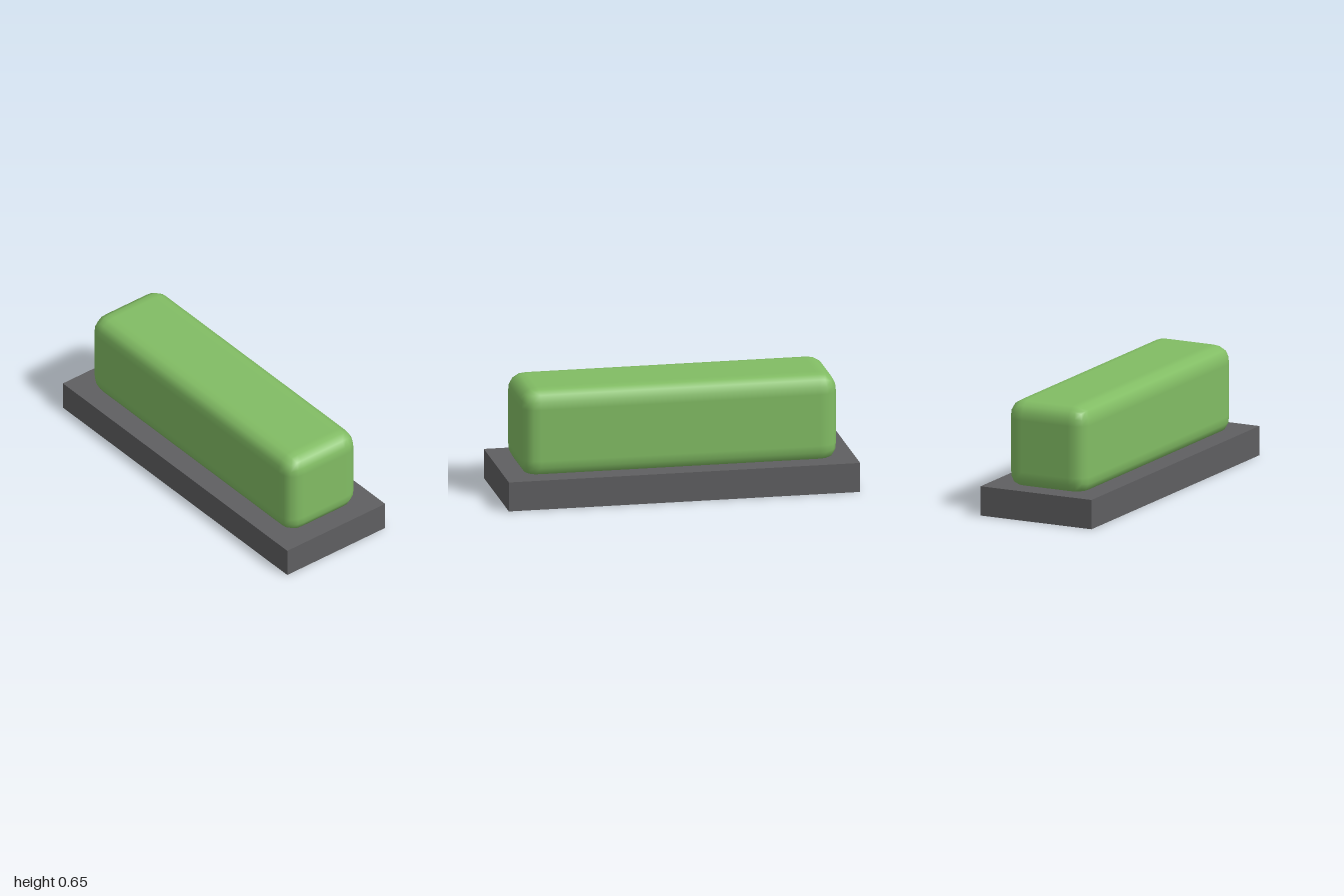
import * as THREE from 'three';

// Box with softly rounded edges: a 5x5x5 grid whose outer two rings wrap each corner.
function softBox(width, height, depth, radius, power) {
  const geometry = new THREE.BoxGeometry(2, 2, 2, 5, 5, 5);
  const position = geometry.attributes.position;
  const normal = geometry.attributes.normal;
  const half = [width / 2, height / 2, depth / 2];
  const n = new THREE.Vector3();
  for (let i = 0; i < position.count; i++) {
    const p = [position.getX(i), position.getY(i), position.getZ(i)];
    // the two middle grid lines bound the flat faces, so they get no corner offset
    const dir = p.map((v) => Math.tan(Math.max(0, (Math.abs(v) - 0.2) / 0.8) * Math.PI / 4));
    const length = dir.reduce((sum, v) => sum + v ** power, 0) ** (1 / power);
    const unit = dir.map((v) => v / length);
    position.setXYZ(i, ...p.map((v, k) => Math.sign(v) * (half[k] - radius + radius * unit[k])));
    n.set(...p.map((v, k) => Math.sign(v) * unit[k] ** (power - 1))).normalize();
    normal.setXYZ(i, n.x, n.y, n.z);
  }
  return geometry;
}

export function createModel() {
  const model = new THREE.Group();
  model.name = 'blockOnBase';

  const green = new THREE.MeshStandardMaterial({ color: 0x82bd64 });
  green.name = 'leafGreen';
  const grey = new THREE.MeshStandardMaterial({ color: 0x5f5f61 });
  grey.name = 'darkGrey';

  // flat plinth
  const base = new THREE.Mesh(new THREE.BoxGeometry(0.7, 0.168, 2), grey);
  base.name = 'base';
  base.position.y = 0.084;
  model.add(base);

  // rounded bar, sunk slightly into the plinth
  const bar = new THREE.Mesh(softBox(0.5, 0.507, 1.8, 0.105, 2.45), green);
  bar.name = 'roundedBar';
  bar.position.y = 0.3985;
  model.add(bar);

  return model;
}
